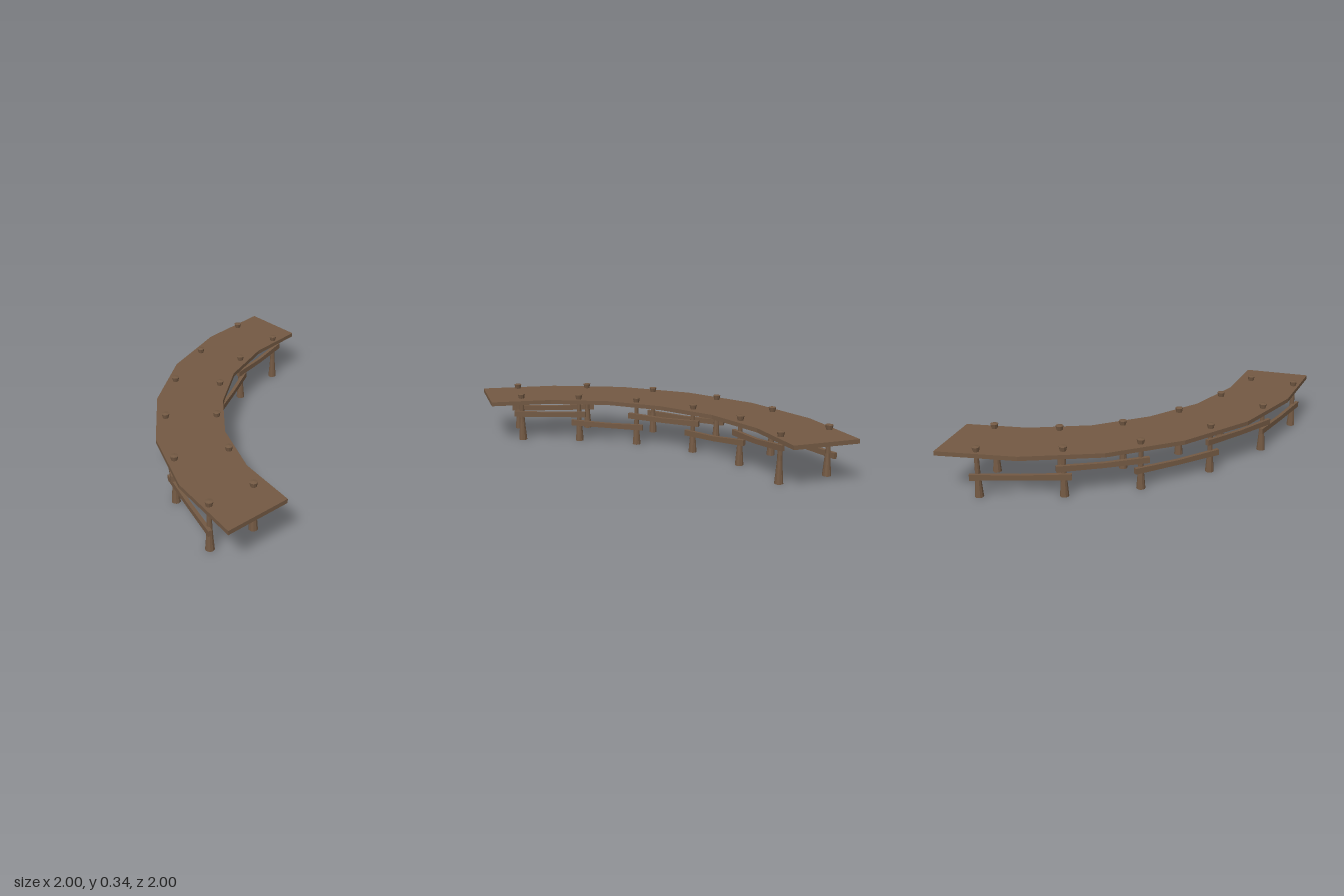
import * as THREE from 'three';

const wood = new THREE.MeshStandardMaterial({ color: 0x735943, flatShading: true });
wood.name = 'weathered wood';

// Post positions (x, z) along each edge of the curve
const outerPosts = [[-0.93, 0.755], [-0.79, 0.26], [-0.525, -0.175], [-0.165, -0.535], [0.255, -0.77], [0.755, -0.925]];
const innerPosts = [[-0.62, 0.78], [-0.475, 0.395], [-0.265, 0.03], [0.03, -0.285], [0.39, -0.48], [0.80, -0.57]];

// Rail heights at start, middle and end of each span
const outerRails = [[0.15, 0.148, 0.155], [0.2, 0.205, 0.222], [0.135, 0.13, 0.135], [0.2, 0.193, 0.197], [0.14, 0.138, 0.14]];
const innerRails = [[0.195, 0.193, 0.197], [0.135, 0.128, 0.127], [0.207, 0.203, 0.21], [0.133, 0.142, 0.165], [0.215, 0.22, 0.245]];

function addMesh(parent, geometry, name) {
  const mesh = new THREE.Mesh(geometry, wood);
  mesh.name = name;
  parent.add(mesh);
  return mesh;
}

// Curved walkway slab
function deckGeometry() {
  const outer = [[1, -1], [0.485, -0.93], [0, -0.735], [-0.415, -0.415], [-0.735, 0], [-0.93, 0.485], [-1, 1]];
  const inner = [[-0.56, 1], [-0.505, 0.595], [-0.35, 0.215], [-0.1, -0.1], [0.215, -0.35], [0.595, -0.505], [1, -0.56]];
  const shape = new THREE.Shape([...outer, ...inner].map(([x, z]) => new THREE.Vector2(x, -z)));
  const geometry = new THREE.ExtrudeGeometry(shape, { depth: 0.028, bevelEnabled: false });
  return geometry.rotateX(-Math.PI / 2).translate(0, 0.277, 0);
}

// Waisted post with a wide foot and a flared head
function postGeometry() {
  const profile = [[0, 0], [0.029, 0], [0.024, 0.06], [0.017, 0.15], [0.015, 0.27], [0.018, 0.3], [0.026, 0.335], [0, 0.34]];
  return new THREE.LatheGeometry(profile.map(([r, y]) => new THREE.Vector2(r, y)), 10);
}

// Slightly bent plank fixed to one side of two neighbouring posts
function railGeometry(a, b, heights, offset) {
  const geometry = new THREE.BoxGeometry(1, 1, 1, 2, 1, 1);
  const start = new THREE.Vector3(a[0], 0, a[1]);
  const end = new THREE.Vector3(b[0], 0, b[1]);
  const along = end.clone().sub(start);
  const length = along.length() + 0.1;
  along.normalize();
  const across = new THREE.Vector3(-along.z, 0, along.x);
  const middle = start.add(end).multiplyScalar(0.5).addScaledVector(across, offset);
  const p = geometry.attributes.position;
  const v = new THREE.Vector3();
  for (let i = 0; i < p.count; i++) {
    const station = Math.round(p.getX(i) * 2) + 1;
    const tall = station === 1 ? 0.033 : 0.039;
    v.copy(middle).addScaledVector(along, p.getX(i) * length).addScaledVector(across, p.getZ(i) * 0.024);
    p.setXYZ(i, v.x, heights[station] + p.getY(i) * tall, v.z);
  }
  geometry.computeVertexNormals();
  return geometry;
}

export function createModel() {
  const model = new THREE.Group();
  model.name = 'curvedBoardwalk';
  addMesh(model, deckGeometry(), 'deck');

  const post = postGeometry();
  const rows = [
    ['outer', outerPosts, outerRails, -0.018],
    ['inner', innerPosts, innerRails, 0.018],
  ];
  for (const [side, posts, rails, offset] of rows) {
    const row = new THREE.Group();
    row.name = side + 'Supports';
    posts.forEach(([x, z]) => addMesh(row, post, side + 'Post').position.set(x, 0, z));
    rails.forEach((h, i) => addMesh(row, railGeometry(posts[i], posts[i + 1], h, offset), side + 'Rail'));
    model.add(row);
  }
  return model;
}
